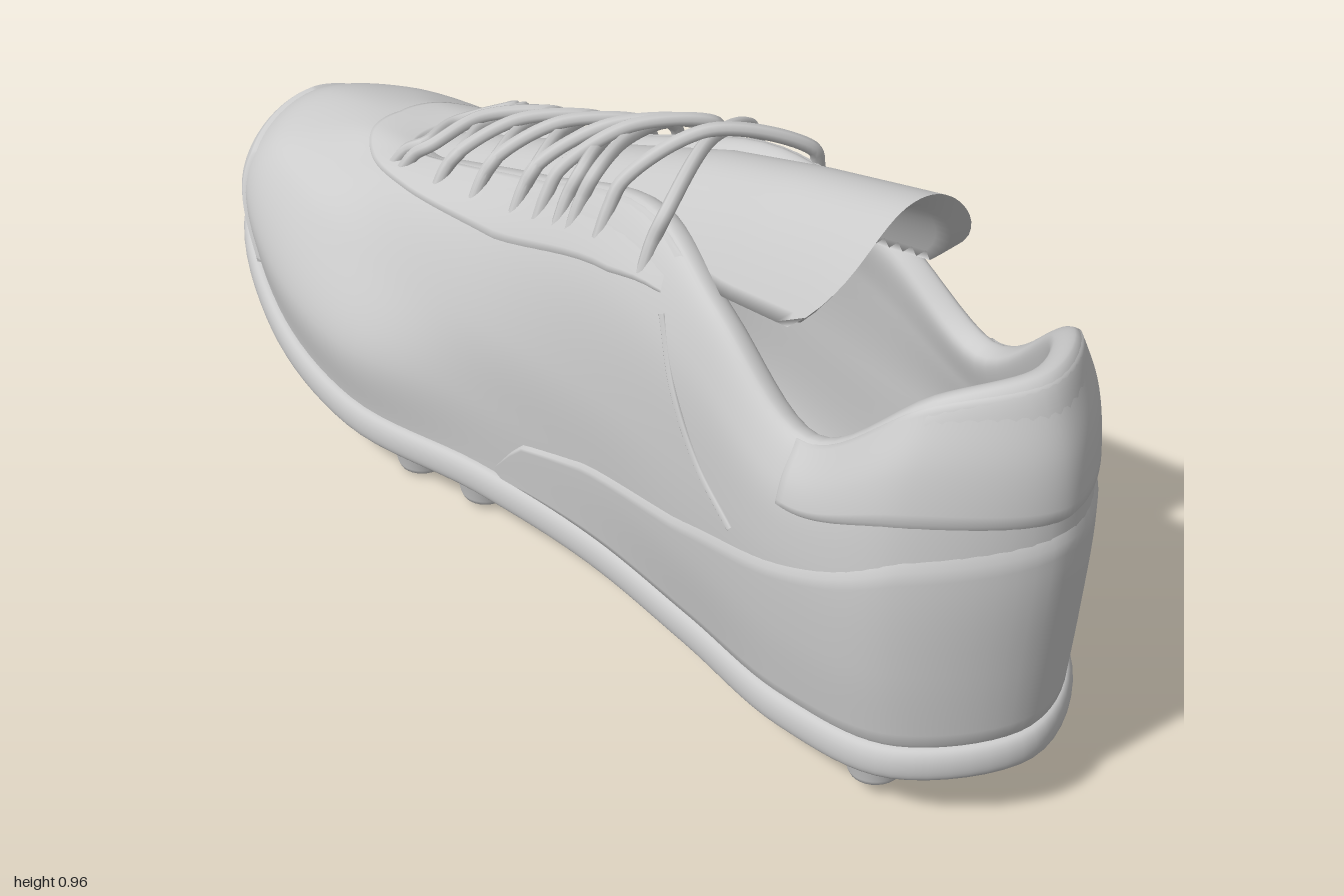
import * as THREE from 'three';

const material = new THREE.MeshStandardMaterial({ color: 0xcccccc, side: THREE.DoubleSide });
const V = (x, y, z) => new THREE.Vector3(x, y, z);
const N = 18; // stations round the boot: 0 = toe, 9 = heel

// Linear interpolation in a small table
function table(xs, ys, x) {
  if (x <= xs[0]) return ys[0];
  for (let i = 1; i < xs.length; i++) {
    if (x <= xs[i]) return ys[i - 1] + (ys[i] - ys[i - 1]) * (x - xs[i - 1]) / (xs[i] - xs[i - 1]);
  }
  return ys[ys.length - 1];
}

// Closed loop from half stations [left x, right x, y, z], toe to heel
function loop(st) {
  const pts = st.map(([l, , y, z]) => V(l, y, z));
  for (let i = st.length - 2; i > 0; i--) pts.push(V(st[i][1], st[i][2], st[i][3]));
  return new THREE.CatmullRomCurve3(pts, true);
}

// Moves a loop outward in plan by d and up by dy
function offset(curve, d, dy) {
  const pts = curve.points.map((p, i) => {
    const t = curve.getTangent(i / N);
    const l = Math.hypot(t.x, t.z) || 1;
    return V(p.x + d * t.z / l, p.y + dy, p.z - d * t.x / l);
  });
  return new THREE.CatmullRomCurve3(pts, true);
}

// Collapses a loop onto the boot's long axis
const spine = (curve, dy) => new THREE.CatmullRomCurve3(
  curve.points.map(p => V(-0.025, p.y + dy, p.z * 0.88)), true);

// Point on the surface lofted through loops: u in stations, v in loops
function surf(rows, u, v) {
  const k = (((u / N) % 1) + 1) % 1;
  return new THREE.CatmullRomCurve3(rows.map(r => r.getPoint(k))).getPoint(v / (rows.length - 1));
}

// Smooth mesh of f(s, t), optionally closed in s
function grid(name, nu, nv, closed, f) {
  const pos = [], idx = [], w = closed ? nu : nu + 1;
  for (let j = 0; j <= nv; j++) for (let i = 0; i < w; i++) pos.push(...f(i / nu, j / nv, i, j).toArray());
  for (let j = 0; j < nv; j++) for (let i = 0; i < nu; i++) {
    const a = j * w + i, b = j * w + (i + 1) % w;
    idx.push(a, a + w, b, b, a + w, b + w);
  }
  const g = new THREE.BufferGeometry();
  g.setAttribute('position', new THREE.Float32BufferAttribute(pos, 3));
  g.setIndex(idx);
  g.computeVertexNormals();
  return named(name, g);
}

function named(name, g) {
  const m = new THREE.Mesh(g, material);
  m.name = name;
  return m;
}

// Loops of the upper, from the sole joint to the collar and throat edge
const base = loop([[-.05, -.05, .33, -.98], [.1, -.2, .28, -.9], [.23, -.285, .18, -.7], [.3, -.3, .12, -.45],
  [.28, -.24, .12, -.15], [.215, -.225, .14, .15], [.195, -.225, .13, .4], [.2, -.245, .14, .65],
  [.155, -.205, .155, .85], [-.03, -.03, .17, .96]]);
const low = loop([[-.05, -.05, .41, -.965], [.12, -.22, .38, -.88], [.25, -.3, .3, -.69], [.305, -.315, .25, -.45],
  [.285, -.25, .27, -.15], [.235, -.24, .29, .15], [.21, -.25, .29, .4], [.22, -.265, .3, .65],
  [.17, -.225, .32, .85], [-.03, -.03, .33, .975]]);
const mid = loop([[-.05, -.05, .485, -.88], [.1, -.19, .46, -.82], [.2, -.24, .43, -.66], [.245, -.25, .4, -.44],
  [.25, -.24, .42, -.15], [.225, -.245, .46, .15], [.205, -.255, .47, .4], [.22, -.27, .46, .65],
  [.175, -.23, .5, .85], [-.03, -.03, .52, .99]]);
const high = loop([[-.03, -.03, .515, -.72], [.05, -.1, .51, -.69], [.12, -.15, .5, -.6], [.165, -.175, .525, -.42],
  [.18, -.185, .58, -.15], [.195, -.215, .67, .18], [.195, -.24, .64, .41], [.205, -.255, .56, .65],
  [.16, -.205, .68, .85], [-.03, -.03, .69, .98]]);
const top = loop([[-.015, -.015, .53, -.55], [.04, -.07, .535, -.53], [.08, -.1, .55, -.47], [.09, -.105, .58, -.38],
  [.1, -.115, .67, -.13], [.13, -.145, .785, .2], [.17, -.2, .73, .42], [.175, -.215, .625, .64],
  [.125, -.165, .78, .84], [-.03, -.03, .815, .93]]);
const shell = [base, low, mid, high, top];

// Thin raised panel lying on the upper between two heights, edges tucked in
function panel(name, u0, u1, v0, v1) {
  const nu = 90, nv = 18, e = 0.01;
  return grid(name, nu, nv, false, (s, t, i, j) => {
    const u = u0 + (u1 - u0) * s;
    const v = Math.min(v0(u) + (v1(u) - v0(u)) * t, 4 - e);
    const p = surf(shell, u, v);
    const du = surf(shell, u + e, v).sub(p), dv = surf(shell, u, v + e).sub(p);
    const edge = i === 0 || j === 0 || i === nu || j === nv;
    return p.addScaledVector(dv.cross(du).normalize(), edge ? -0.004 : 0.006);
  });
}

// Tongue outline along z: half width, crown height and edge height
const tz = [-.55, -.1, .2, .4, .6, .66];
const tongueHalf = z => table(tz, [.08, .115, .135, .16, .172, .165], z);
const crown = z => table(tz, [.525, .705, .83, .895, .95, .967], z);
const brim = z => table(tz, [.48, .62, .72, .735, .775, .8], z);

function tongue() {
  const nu = 64, nv = 40;
  return grid('tongue', nu, nv, true, (s, t) => {
    const outer = s < 0.5;
    const a = outer ? s * 4 - 1 : 3 - s * 4;
    const z = -0.55 + t * (1.2 - 0.09 * Math.abs(a) ** 6);
    const thick = outer || t === 1 ? 0 : 0.025;
    const y = brim(z) + (crown(z) - brim(z)) * (1 - Math.abs(a) ** 2.1) - thick;
    return V(-0.015 + a * (tongueHalf(z) - thick * 0.7), y, z);
  });
}

// Lace running over the tongue between eyelets on the two sides
function eyelet(z, side, v) {
  let a = 0, b = 7;
  for (let i = 0; i < 24; i++) {
    const m = (a + b) / 2;
    if (surf(shell, m, 3.6).z < z) a = m; else b = m;
  }
  return surf(shell, side > 0 ? a : N - a, v);
}
function lace(zl, zr, lift) {
  const up = (p, d) => p.add(V(0, d, 0));
  const zm = (zl + zr) / 2;
  const path = new THREE.CatmullRomCurve3([
    up(eyelet(zl, 1, 3.4), -0.01), up(eyelet(zl, 1, 3.65), 0.02), up(eyelet(zl, 1, 3.95), 0.03),
    V(-0.015, crown(zm) + lift, zm),
    up(eyelet(zr, -1, 3.95), 0.03), up(eyelet(zr, -1, 3.65), 0.02), up(eyelet(zr, -1, 3.4), -0.01)]);
  return named('lace', new THREE.TubeGeometry(path, 48, 0.012, 8));
}

export function createModel() {
  const boot = new THREE.Group();
  boot.name = 'footballBoot';

  // Upper with rolled rim, lining and insole
  const body = [...shell, offset(top, -.035, -.015), offset(high, -.05, -.03), offset(mid, -.045, -.03),
    offset(base, -.05, .04), spine(base, .04)];
  boot.add(grid('upper', 144, 90, true, (s, t) => surf(body, s * N, t * 9)));

  // Sole plate with a rounded lip
  const plate = [spine(base, -.05), offset(base, -.04, -.055), offset(base, 0, -.055), offset(base, .016, -.042),
    offset(base, .018, -.01), offset(base, .008, .008), offset(base, -.02, .01)];
  boot.add(grid('solePlate', 144, 36, true, (s, t) => surf(plate, s * N, t * 6)));

  // Raised panels
  const fromHeel = u => Math.abs(u - 9);
  boot.add(panel('heelCounter', 4.1, 13.9, () => 0,
    u => table([0, 1, 2, 3, 4, 4.6, 4.9], [2.35, 2.2, 1.8, 1.35, 1.1, .75, .05], fromHeel(u))));
  boot.add(panel('collarPanel', 6.9, 11.1, u => table([0, 1, 2.1], [2.4, 2.45, 2.6], fromHeel(u)), () => 4));
  boot.add(panel('eyestay', -5.6, 5.6,
    u => table([0, 2, 3, 4, 5, 5.6], [3.35, 3.15, 3, 2.9, 3.05, 3.4], Math.abs(u)), () => 4));
  boot.add(panel('toeCap', -1.6, 1.6, () => 0, u => table([0, 1, 1.6], [1.9, 1.5, .1], Math.abs(u))));

  // Slanted seam on the right quarter
  const seam = [[11.45, 1.75], [11.8, 2.1], [12.1, 2.6], [12.4, 3.2]].map(([u, v]) => surf(shell, u, v));
  boot.add(named('sideSeam', new THREE.TubeGeometry(new THREE.CatmullRomCurve3(seam), 24, 0.007, 6)));

  boot.add(tongue());

  // Crossed laces, with one straight bar at the toe end
  const laces = new THREE.Group();
  laces.name = 'laces';
  const zs = [-.47, -.36, -.25, -.13, .0, .12, .25];
  laces.add(lace(-.5, -.5, 0.025));
  for (let i = 0; i < zs.length - 1; i++) {
    if (i === 4) continue;
    laces.add(lace(zs[i], zs[i + 1], 0.022), lace(zs[i + 1], zs[i], 0.042));
  }
  laces.add(lace(-.06, .04, 0.022), lace(.04, -.06, 0.042));
  boot.add(laces);

  // Tapered studs: x, bottom y, z, tilt
  const studs = [[-.16, .03, .77, -.08], [.09, .03, .77, -.08], [-.15, .03, .49, 0], [.09, .03, .49, 0],
    [-.19, .01, -.2, 0], [-.22, .005, -.35, 0], [-.21, .02, -.57, .15], [-.15, .09, -.78, .35],
    [.08, .09, -.77, .35], [0, .01, -.44, .05], [.2, .01, -.52, .1], [.2, 0, -.28, 0]];
  const studShape = new THREE.LatheGeometry(
    [[0, 0], [.036, 0], [.042, .004], [.045, .012], [.058, .075], [.07, .085], [.07, .11]].map(p => new THREE.Vector2(...p)), 28);
  for (const [x, y, z, tilt] of studs) {
    const stud = named('stud', studShape);
    stud.position.set(x, y, z);
    stud.rotation.x = tilt;
    boot.add(stud);
  }
  return boot;
}
